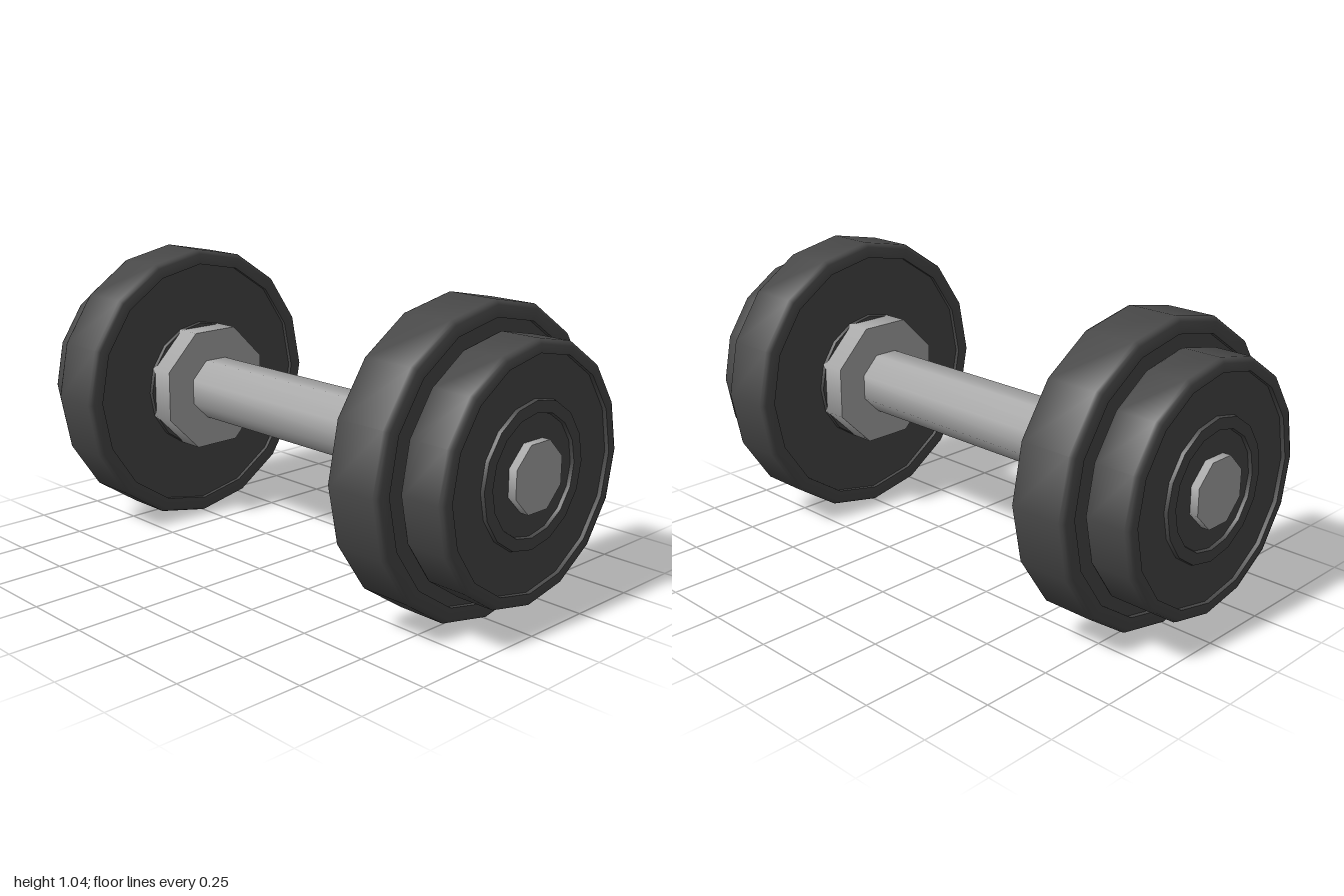
import * as THREE from 'three';
import { toCreasedNormals } from 'three/addons/utils/BufferGeometryUtils.js';

const AXIS_Y = 0.518;

export function createModel() {
  const model = new THREE.Group();
  model.name = 'dumbbell';

  const steel = new THREE.MeshStandardMaterial({ color: 0xaaaaaa });
  steel.name = 'steel';
  const rubber = new THREE.MeshStandardMaterial({ color: 0x484848 });
  rubber.name = 'black rubber';

  function add(name, geometry, material, x) {
    const mesh = new THREE.Mesh(geometry, material);
    mesh.name = name;
    mesh.position.set(x, AXIS_Y, 0);
    model.add(mesh);
  }

  // Eight-sided rod along x, with flats facing up, down, front and back
  function rod(radius, length) {
    const g = new THREE.CylinderGeometry(radius, radius, length, 8, 1, false, Math.PI / 8);
    return g.rotateZ(-Math.PI / 2);
  }

  // Sixteen-sided plate: rounded rim, recessed web and a raised hub ring on both faces
  function plate(radius, rimInner, width) {
    const h = width / 2, web = h - 0.015, b = 0.016;
    const half = [
      [radius, h - b], [radius - 0.005, h - 0.005], [radius - b, h],
      [rimInner, h], [rimInner, web],
      [0.24, web], [0.237, h - 0.003], [0.198, h - 0.003], [0.195, web],
      [0.1, web],
    ];
    const points = [
      ...half.slice().reverse().map(([r, a]) => new THREE.Vector2(r, -a)),
      ...half.map(([r, a]) => new THREE.Vector2(r, a)),
    ];
    const g = new THREE.LatheGeometry(points, 16);
    return toCreasedNormals(g, 0.9).rotateZ(-Math.PI / 2);
  }

  // Handle bar running the full length
  add('bar', rod(0.119, 2), steel, 0);

  // Collar and two plates on each end
  for (const [side, s] of [['left', 1], ['right', -1]]) {
    add(side + 'Collar', rod(0.24, 0.1), steel, s * 0.58);
    add(side + 'LargePlate', plate(0.518, 0.463, 0.207), rubber, s * 0.7165);
    add(side + 'SmallPlate', plate(0.424, 0.38, 0.166), rubber, s * 0.903);
  }

  return model;
}
